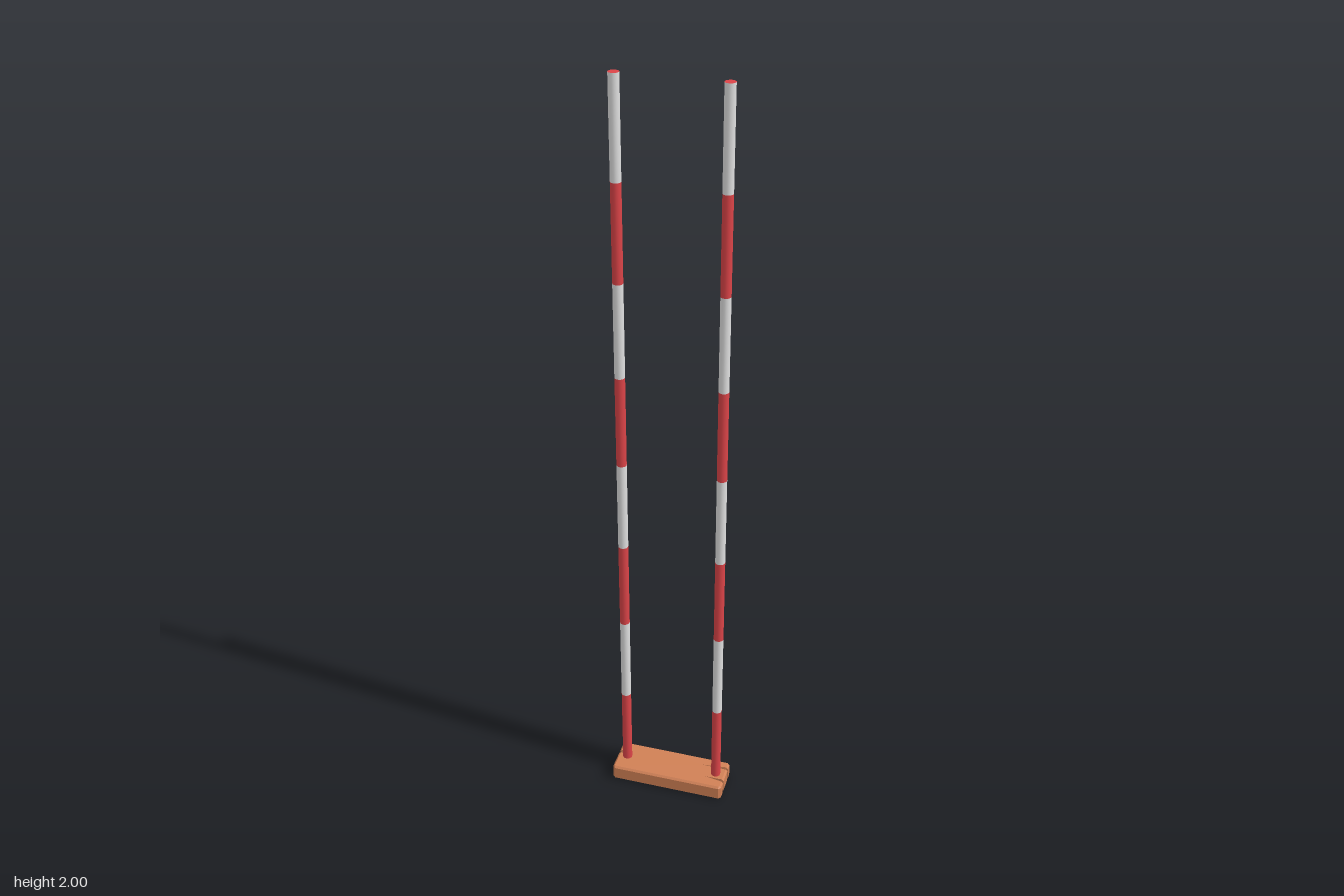
import * as THREE from 'three';

const HX = 0.157, HZ = 0.054, H = 0.045, BEVEL = 0.005;

// Wedge cracks in the plank ends: mouth corners on the end face, and the tip, as [x, z]
const cracks = [
  [[HX, -0.031], [0.083, -0.023], [HX, -0.022]],
  [[HX, 0.019], [0.103, 0.0195], [HX, 0.027]],
  [[-HX, -0.008], [-0.128, -0.004], [-HX, -0.018]],
];

// Upright prism from an outline in x and z
function prism(points, y0, y1, steps = 1) {
  const shape = new THREE.Shape(points.map(([x, z]) => new THREE.Vector2(x, z)));
  const geo = new THREE.ExtrudeGeometry(shape, { depth: y1 - y0, steps, bevelEnabled: false });
  geo.rotateX(Math.PI / 2);
  geo.translate(0, y1, 0);
  return geo;
}

// Cracked plank with its top and bottom edges chamfered
function plankGeometry() {
  const c = 0.007;
  const geo = prism([
    [-HX + c, -HZ], [HX - c, -HZ], [HX, -HZ + c],
    ...cracks[0], ...cracks[1],
    [HX, HZ - c], [HX - c, HZ], [-HX + c, HZ], [-HX, HZ - c],
    ...cracks[2],
    [-HX, -HZ + c],
  ], 0, H, 3);
  const p = geo.attributes.position;
  const levels = [0, BEVEL, H - BEVEL, H];
  for (let i = 0; i < p.count; i++) {
    const level = Math.round(p.getY(i) / H * 3);
    const inset = level === 0 || level === 3 ? BEVEL : 0;
    p.setXYZ(i,
      THREE.MathUtils.clamp(p.getX(i), -HX + inset, HX - inset),
      levels[level],
      THREE.MathUtils.clamp(p.getZ(i), -HZ + inset, HZ - inset));
  }
  geo.computeVertexNormals();
  return geo;
}

export function createModel() {
  const model = new THREE.Group();
  const wood = new THREE.MeshStandardMaterial({ color: 0xd08055 });
  wood.name = 'wood';
  const darkWood = new THREE.MeshStandardMaterial({ color: 0x5e3724 });
  darkWood.name = 'darkWood';
  const red = new THREE.MeshStandardMaterial({ color: 0xdc4448 });
  red.name = 'red';
  const white = new THREE.MeshStandardMaterial({ color: 0xe0e0e0 });
  white.name = 'white';

  const add = (parent, name, geo, mat, x = 0, y = 0, z = 0) => {
    const mesh = new THREE.Mesh(geo, mat);
    mesh.name = name;
    mesh.position.set(x, y, z);
    parent.add(mesh);
  };

  // Seat plank, with the cracks closed near the underside
  const seat = new THREE.Group();
  seat.name = 'seat';
  model.add(seat);
  add(seat, 'plank', plankGeometry(), wood);
  for (const crack of cracks) {
    const pts = crack.map(([x, z]) => [THREE.MathUtils.clamp(x, -HX + BEVEL, HX - BEVEL), z]);
    add(seat, 'crackBase', prism(pts, 0, 0.012), wood);
    add(seat, 'crackFloor', prism(pts, 0.012, 0.016), darkWood);
  }

  // Two striped ropes rising from the plank
  const radius = 0.013, start = 0.03, bands = 8, band = (2 - start) / bands;
  const bandGeo = new THREE.CylinderGeometry(radius, radius, band, 16, 1, true);
  const capGeo = new THREE.CircleGeometry(radius, 16).rotateX(-Math.PI / 2);
  for (const [name, x] of [['rightRope', -0.129], ['leftRope', 0.129]]) {
    const rope = new THREE.Group();
    rope.name = name;
    model.add(rope);
    for (let i = 0; i < bands; i++) {
      add(rope, i % 2 ? 'whiteBand' : 'redBand', bandGeo, i % 2 ? white : red, x, start + band * (i + 0.5), 0);
    }
    add(rope, 'ropeEnd', capGeo, red, x, 2, 0);
  }
  return model;
}
